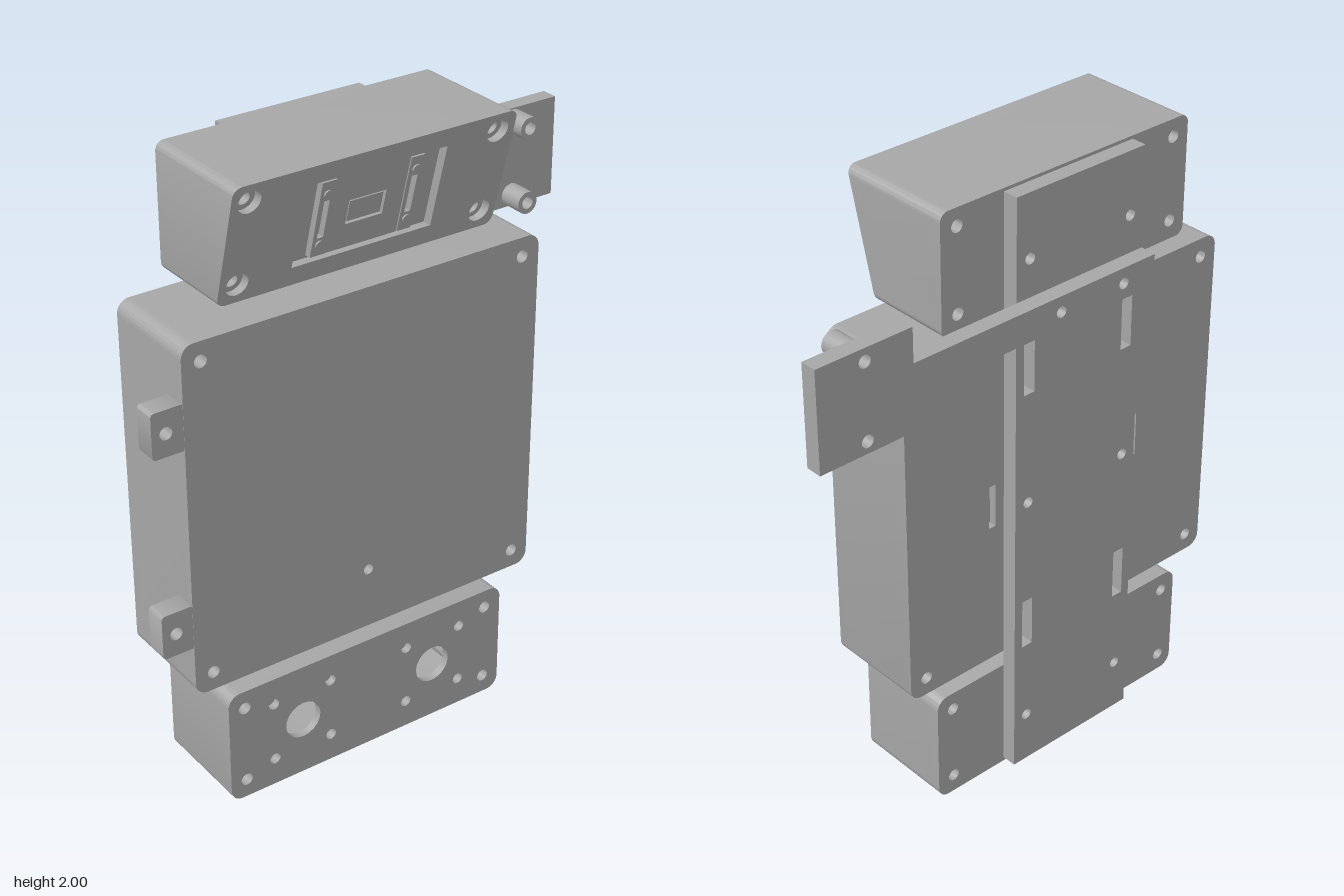
import * as THREE from 'three';
import { toCreasedNormals } from 'three/addons/utils/BufferGeometryUtils.js';

const grey = new THREE.MeshStandardMaterial({ color: 0xa6a6a6 });
grey.name = 'grey plastic';

// Outline of a rectangle with rounded corners
function rect(x0, x1, y0, y1, r = 0, Type = THREE.Shape) {
  const s = new Type();
  if (!r) {
    s.moveTo(x0, y0); s.lineTo(x1, y0); s.lineTo(x1, y1); s.lineTo(x0, y1); s.closePath();
    return s;
  }
  const q = Math.PI / 2;
  s.moveTo(x0 + r, y0);
  s.absarc(x1 - r, y0 + r, r, -q, 0, false);
  s.absarc(x1 - r, y1 - r, r, 0, q, false);
  s.absarc(x0 + r, y1 - r, r, q, 2 * q, false);
  s.absarc(x0 + r, y0 + r, r, 2 * q, 3 * q, false);
  s.closePath();
  return s;
}
const slot = (x0, x1, y0, y1, r = 0) => rect(x0, x1, y0, y1, r, THREE.Path);
const hole = (x, y, r = 0.02) => new THREE.Path().absarc(x, y, r, 0, Math.PI * 2, true);
const disc = (x, y, r) => new THREE.Shape().absarc(x, y, r, 0, Math.PI * 2, false);
const grid = (xs, ys) => xs.flatMap(x => ys.map(y => [x, y]));

// Extrude a shape from z0 to z1; bend can shift z afterwards
function slab(parent, name, shape, z0, z1, holes = [], bend = null) {
  shape.holes.push(...holes);
  let geo = new THREE.ExtrudeGeometry(shape, { depth: z1 - z0, bevelEnabled: false, curveSegments: 10 });
  geo.translate(0, 0, z0);
  if (bend) {
    const p = geo.attributes.position;
    for (let i = 0; i < p.count; i++) p.setZ(i, bend(p.getZ(i), p.getY(i)));
  }
  geo = toCreasedNormals(geo, 0.6);
  const mesh = new THREE.Mesh(geo, grey);
  mesh.name = name;
  parent.add(mesh);
  return mesh;
}

function section(parent, name) {
  const g = new THREE.Group();
  g.name = name;
  parent.add(g);
  return g;
}

// Hollow housing: back wall, rim, front panel and screw tubes
function housing(g, [x0, x1, y0, y1], r, screws, frontHoles, backHoles) {
  const w = 0.025, zb = -0.14, zf = 0.19;
  const bores = () => screws.map(([x, y]) => hole(x, y));
  slab(g, 'backWall', rect(x0, x1, y0, y1, r), zb, zb + w, [...bores(), ...backHoles]);
  slab(g, 'rim', rect(x0, x1, y0, y1, r), zb + w, zf - w, [slot(x0 + w, x1 - w, y0 + w, y1 - w, r / 2)]);
  slab(g, 'frontPanel', rect(x0, x1, y0, y1, r), zf - w, zf, [...bores(), ...frontHoles]);
  for (const [x, y] of screws) slab(g, 'screwTube', disc(x, y, 0.032), zb + w, zf - w, [hole(x, y)]);
}

export function createModel() {
  const model = new THREE.Group();
  model.name = 'deviceAssembly';
  const railX = [-0.325, 0.055];

  // Main housing with two side tabs
  const main = section(model, 'mainHousing');
  housing(main, [-0.74, 0.47, 0.44, 1.57], 0.04, grid([-0.68, 0.41], [0.5, 1.51]),
    [hole(-0.135, 0.64, 0.017)],
    [...railX.map(x => hole(x, 0.99, 0.018)),
      ...[-0.42, 0.15].map(x => slot(x - 0.013, x + 0.013, 0.92, 1.065))]);
  for (const y of [0.68, 1.328]) {
    slab(main, 'mountingTab', rect(-0.84, -0.735, y - 0.072, y + 0.072, 0.012), 0.12, 0.189, [hole(-0.795, y)]);
  }

  // Lower housing with two round openings
  const lower = section(model, 'lowerHousing');
  housing(lower, [-0.635, 0.37, 0, 0.385], 0.04, grid([-0.58, 0.31], [0.062, 0.325]),
    [hole(-0.375, 0.193, 0.062), hole(0.108, 0.193, 0.062),
      ...grid([-0.478, -0.275, 0.008, 0.21], [0.093, 0.295]).map(([x, y]) => hole(x, y, 0.018))],
    railX.map(x => hole(x, 0.193, 0.018)));

  // Upper housing with a front that leans outward to the top
  const upper = section(model, 'upperHousing');
  const lean = (z, y) => z + (y - 1.62) * 0.276;
  const corners = grid([-0.538, 0.272], [1.68, 1.945]);
  const outline = () => rect(-0.595, 0.33, 1.62, 2, 0.028);
  slab(upper, 'backWall', outline(), -0.14, -0.115,
    [...corners.map(([x, y]) => hole(x, y)), ...railX.map(x => hole(x, 1.79, 0.018))]);
  slab(upper, 'rim', outline(), -0.115, 0.09, [slot(-0.57, 0.305, 1.645, 1.975, 0.014)],
    (z, y) => (z > 0 ? lean(z, y) : z));
  slab(upper, 'innerPanel', outline(), 0.09, 0.11, corners.map(([x, y]) => hole(x, y)), lean);
  slab(upper, 'facePanel', outline(), 0.11, 0.14,
    [...corners.map(([x, y]) => hole(x, y, 0.036)), slot(-0.365, 0.1, 1.68, 1.942)], lean);
  for (const [x, y] of corners) {
    slab(upper, 'screwTube', disc(x, y, 0.032), -0.115, 0.09, [hole(x, y)],
      (z, yy) => (z > 0 ? lean(z, yy) : z));
  }

  // Recessed sensor block with window, side rails and screws
  const sensor = section(upper, 'sensorBlock');
  slab(sensor, 'sensorPlate', rect(-0.255, -0.012, 1.688, 1.938), 0.11, 0.128,
    [slot(-0.198, -0.075, 1.768, 1.846)], lean);
  slab(sensor, 'sensorWindow', rect(-0.192, -0.081, 1.774, 1.84), 0.11, 0.124, [], lean);
  for (const x of [-0.279, 0.011]) {
    slab(sensor, 'sensorRail', rect(x - 0.023, x + 0.023, 1.69, 1.932), 0.11, 0.132,
      [slot(x - 0.01, x + 0.01, 1.75, 1.87)], lean);
    for (const y of [1.728, 1.892]) slab(sensor, 'railScrew', disc(x, y, 0.013), 0.13, 0.138, [], lean);
  }

  // Long rear plate joining the housings
  const armHoles = () => [-0.255, -0.015].map(x => hole(x, 1.62, 0.018));
  slab(model, 'rearPlate', rect(-0.375, 0.105, 0.015, 1.99), -0.19, -0.14, [
    ...grid(railX, [0.193, 0.99, 1.79]).map(([x, y]) => hole(x, y, 0.018)),
    ...grid(railX, [0.55, 1.445]).map(([x, y]) => slot(x - 0.02, x + 0.02, y - 0.085, y + 0.085)),
    ...armHoles(),
  ]);

  // Side arm with a square pad and two hollow posts
  const arm = section(model, 'sideArm');
  const posts = [[0.675, 1.498], [0.675, 1.74]];
  const armShape = new THREE.Shape([
    [-0.375, 1.57], [0.515, 1.57], [0.515, 1.46], [0.835, 1.46],
    [0.835, 1.78], [0.515, 1.78], [0.515, 1.67], [-0.375, 1.67],
  ].map(p => new THREE.Vector2(...p)));
  slab(arm, 'armPlate', armShape, -0.243, -0.19, [...armHoles(), ...posts.map(([x, y]) => hole(x, y))]);
  for (const [x, y] of posts) slab(arm, 'armPost', disc(x, y, 0.036), -0.19, -0.11, [hole(x, y)]);

  return model;
}
